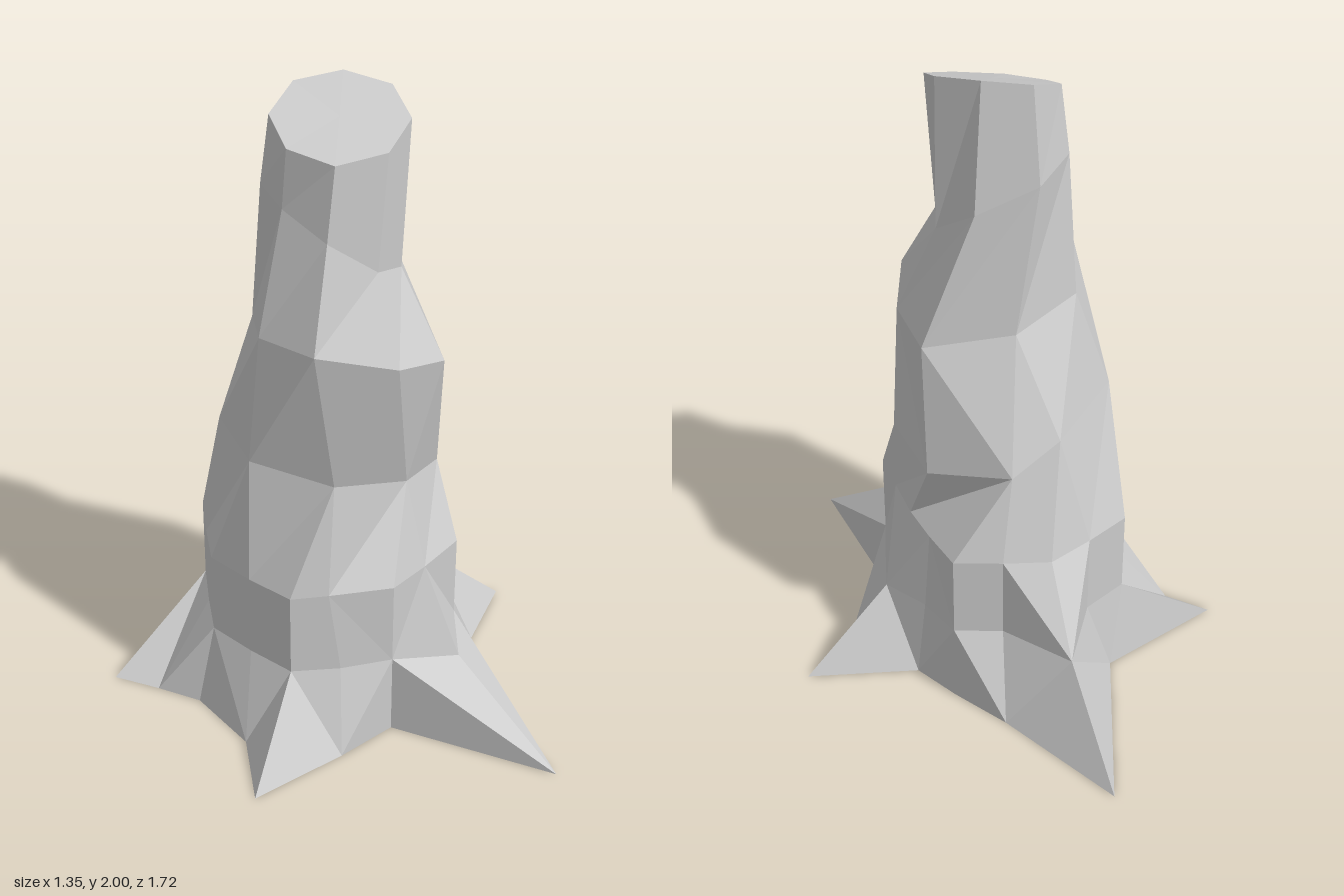
import * as THREE from 'three';

// Cross-sections run from +x round by the front (+z); each point is [x, y, z].
const level = (y, pts) => pts.map(([x, z]) => [x, y, z]);

// Sixteen-sided flare: star of root tips, buttresses, shoulder
const base = level(0, [
  [0.67, -0.01], [0.45, 0.17], [0.28, 0.31], [0.31, 0.86], [-0.02, 0.43], [-0.22, 0.47], [-0.54, 0.51], [-0.45, 0.27],
  [-0.49, 0.02], [-0.58, -0.10], [-0.68, -0.22], [-0.26, -0.33], [-0.02, -0.86], [0.16, -0.45], [0.26, -0.27], [0.33, -0.12]]);
const buttress = level(0.27, [
  [0.38, 0.02], [0.33, 0.17], [0.28, 0.31], [0.17, 0.51], [-0.02, 0.43], [-0.18, 0.39], [-0.32, 0.33], [-0.38, 0.18],
  [-0.43, 0.02], [-0.38, -0.12], [-0.32, -0.27], [-0.17, -0.33], [-0.02, -0.54], [0.12, -0.33], [0.26, -0.27], [0.30, -0.12]]);
const shoulder = level(0.54, [
  [0.29, 0.02], [0.285, 0.17], [0.28, 0.31], [0.12, 0.38], [-0.02, 0.43], [-0.21, 0.37], [-0.32, 0.33], [-0.38, 0.18],
  [-0.43, 0.02], [-0.38, -0.12], [-0.32, -0.27], [-0.17, -0.33], [-0.02, -0.38], [0.12, -0.33], [0.26, -0.27], [0.28, -0.12]]);

// Eight-sided trunk, twisting as it rises to a slanted cut
const waist = [
  [0.27, 0.76, -0.09], [0.28, 0.77, 0.18], [0.09, 0.82, 0.31], [-0.17, 0.89, 0.33],
  [-0.35, 0.93, 0.14], [-0.33, 0.95, -0.10], [-0.09, 0.90, -0.27], [0.07, 0.81, -0.28]];
const bulge = [
  [0.26, 1.20, 0.17], [0.17, 1.24, 0.37], [-0.03, 1.30, 0.45], [-0.24, 1.34, 0.34],
  [-0.31, 1.33, 0.14], [-0.22, 1.28, -0.08], [0.00, 1.22, -0.14], [0.26, 1.18, -0.04]];
const neck = [
  [0.17, 1.51, 0.06], [0.11, 1.49, 0.22], [-0.02, 1.54, 0.31], [-0.16, 1.64, 0.27],
  [-0.22, 1.70, 0.12], [-0.21, 1.72, -0.03], [-0.08, 1.68, -0.12], [0.10, 1.60, -0.07]];
const rim = [
  [0.16, 1.98, 0.07], [0.14, 1.93, 0.21], [0.02, 1.88, 0.29], [-0.13, 1.86, 0.26],
  [-0.21, 1.88, 0.13], [-0.19, 1.93, -0.01], [-0.07, 1.98, -0.09], [0.07, 2.00, -0.05]];

// Skin two equal rings; rising(k) picks the diagonal of side k
function skin(low, up, rising) {
  const tris = [];
  low.forEach((a, k) => {
    const n = (k + 1) % low.length, b = low[n], c = up[k], d = up[n];
    if (rising(k)) tris.push(b, a, d, a, c, d);
    else tris.push(b, a, c, b, c, d);
  });
  return tris;
}

// Skin a ring to one with half as many sides
function skinHalf(low, up) {
  const tris = [];
  up.forEach((c, i) => {
    const d = up[(i + 1) % up.length];
    const a = low[2 * i], m = low[2 * i + 1], b = low[(2 * i + 2) % low.length];
    // The last side leans over into a deep crease
    if (i === up.length - 1) tris.push(m, a, c, b, m, c, b, c, d);
    else tris.push(m, a, c, m, c, d, b, m, d);
  });
  return tris;
}

// Close a ring with a fan about its middle
function cap(ring, facingUp) {
  const mid = [0, 1, 2].map(i => ring.reduce((s, p) => s + p[i], 0) / ring.length);
  return ring.flatMap((p, k) => {
    const q = ring[(k + 1) % ring.length];
    return facingUp ? [mid, q, p] : [mid, p, q];
  });
}

export function createModel() {
  const group = new THREE.Group();
  group.name = 'treeStump';
  const material = new THREE.MeshStandardMaterial({ color: 0xcccccc, flatShading: true });

  const add = (name, tris) => {
    const geometry = new THREE.BufferGeometry();
    geometry.setAttribute('position', new THREE.Float32BufferAttribute(tris.flat(), 3));
    geometry.computeVertexNormals();
    const mesh = new THREE.Mesh(geometry, material);
    mesh.name = name;
    group.add(mesh);
  };

  add('roots', [
    ...skin(base, buttress, k => k % 2 === 1),
    ...skin(buttress, shoulder, k => k % 2 === 0)]);
  add('trunk', [
    ...skinHalf(shoulder, waist),
    ...skin(waist, bulge, () => false),
    ...skin(bulge, neck, () => false),
    ...skin(neck, rim, () => false)]);
  add('cutTop', cap(rim, true));
  add('underside', cap(base, false));
  return group;
}
